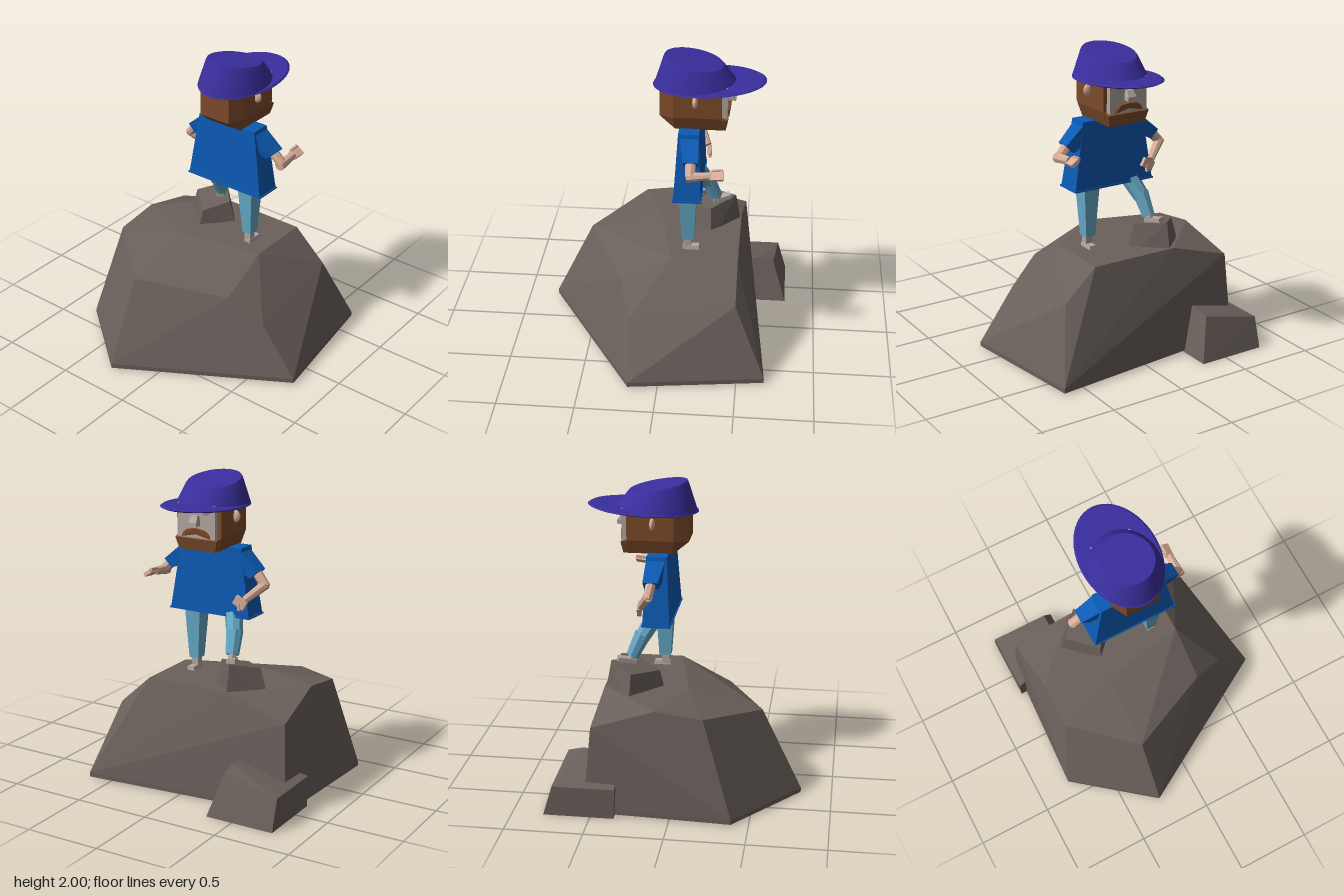
import * as THREE from 'three';
import { toCreasedNormals } from 'three/addons/utils/BufferGeometryUtils.js';
import { ConvexGeometry } from 'three/addons/geometries/ConvexGeometry.js';

const material = (name, color) => {
  const m = new THREE.MeshStandardMaterial({ color });
  m.name = name;
  return m;
};

export function createModel() {
  const model = new THREE.Group();
  const rock = material('rock', 0x6a605b);
  const hatBlue = material('hat purple', 0x3a2e9e);
  const shirtBlue = material('shirt blue', 0x0c5ab4);
  const denim = material('trouser blue', 0x66aac8);
  const skin = material('skin', 0xd8ae98);
  const pale = material('pale face', 0xb3a79f);
  const hair = material('hair brown', 0x7d4b2b);
  const lid = material('eyelid grey', 0x8d837d);

  const add = (name, geometry, mat) => {
    const mesh = new THREE.Mesh(geometry, mat);
    mesh.name = name;
    model.add(mesh);
    return mesh;
  };
  // Faceted solid wrapped around its corner points
  const hull = (name, pts, mat) =>
    add(name, new ConvexGeometry(pts.map((p) => new THREE.Vector3(...p))), mat);
  // Rectangle of corners at height y
  const rect = (y, x0, x1, z0, z1) => [[x0, y, z0], [x1, y, z0], [x1, y, z1], [x0, y, z1]];
  const box = (name, x, y, z, w, h, d, mat) => {
    const mesh = add(name, new THREE.BoxGeometry(w, h, d), mat);
    mesh.position.set(x, y, z);
    return mesh;
  };
  // Tapered faceted limb from a to b
  const limb = (name, a, b, ra, rb, mat) => {
    const p = new THREE.Vector3(...a), q = new THREE.Vector3(...b);
    const dir = q.clone().sub(p);
    const geo = new THREE.CylinderGeometry(rb, ra, dir.length(), 8).toNonIndexed();
    geo.computeVertexNormals();
    const mesh = add(name, geo, mat);
    mesh.position.copy(p).add(q).multiplyScalar(0.5);
    mesh.quaternion.setFromUnitVectors(new THREE.Vector3(0, 1, 0), dir.normalize());
  };
  // Solid through stacked elliptical rings: [centreX, radiusX, radiusZ, y at back, y at front]
  const stack = (name, rings, mat) => {
    const n = 48, pos = [], idx = [];
    const ends = [rings[0], rings[rings.length - 1]];
    rings.forEach(([cx, rx, rz, yb, yf]) => {
      for (let i = 0; i < n; i++) {
        const a = (i / n) * Math.PI * 2, c = Math.cos(a);
        pos.push(cx + rx * c, yb + ((yf - yb) * (c + 1)) / 2, rz * Math.sin(a));
      }
    });
    ends.forEach(([cx, , , yb, yf]) => pos.push(cx, (yb + yf) / 2, 0));
    const bottom = rings.length * n, top = bottom + 1, last = (rings.length - 1) * n;
    for (let i = 0; i < n; i++) {
      const j = (i + 1) % n;
      for (let r = 0; r < rings.length - 1; r++) {
        const o = r * n;
        idx.push(o + i, o + n + i, o + j, o + j, o + n + i, o + n + j);
      }
      idx.push(bottom, i, j, top, last + j, last + i);
    }
    const geo = new THREE.BufferGeometry();
    geo.setAttribute('position', new THREE.Float32BufferAttribute(pos, 3));
    geo.setIndex(idx);
    geo.computeVertexNormals();
    return add(name, toCreasedNormals(geo, 0.5), mat);
  };

  // Boulders
  hull('mainBoulder', [
    [-0.8, 0.01, -0.27], [-0.39, 0.01, -0.78], [0.55, 0.01, -0.73], [0.68, 0.01, 0.65], [-0.19, 0.01, 0.77],
    [-0.8, 0.04, -0.27], [-0.39, 0.04, -0.78], [0.55, 0.04, -0.73], [0.68, 0.04, 0.65], [-0.19, 0.04, 0.77],
    [-0.2, 0.37, 0.52], [0.48, 0.5, 0.52], [-0.28, 0.53, 0.3], [-0.54, 0.58, -0.27],
    [0.05, 0.7, 0.3], [0.48, 0.7, 0.3], [-0.06, 0.7, -0.27], [-0.2, 0.66, -0.67],
    [0.1, 0.7, -0.67], [0.48, 0.7, -0.3], [0.5, 0.58, -0.7],
  ], rock);
  hull('sideBoulder', [
    ...rect(0, 0.35, 0.8, -0.78, -0.32), [0.34, 0.2, -0.78], [0.74, 0.2, -0.78],
    [0.4, 0.3, -0.4], [0.62, 0.3, -0.4], [0.71, 0.28, -0.4],
  ], rock);
  hull('footBoulder', [
    [0.3, 0.6, -0.48], [0.49, 0.6, -0.27], [0.29, 0.6, -0.05], [0.08, 0.6, -0.25],
    [0.29, 0.83, -0.41], [0.44, 0.87, -0.27], [0.28, 0.84, -0.12], [0.13, 0.8, -0.23],
  ], rock);

  // Straight leg and shoe
  hull('rightLeg', [...rect(1.14, 0.085, 0.205, 0.09, 0.205), ...rect(0.775, 0.11, 0.187, 0.115, 0.182)], denim);
  box('rightAnkle', 0.145, 0.745, 0.15, 0.05, 0.08, 0.045, pale);
  hull('rightFoot', [...rect(0.695, 0.115, 0.225, 0.125, 0.18), ...rect(0.725, 0.115, 0.22, 0.13, 0.175)], pale);

  // Bent leg and shoe
  limb('leftThigh', [0.165, 1.15, -0.14], [0.255, 1.0, -0.2], 0.062, 0.052, denim);
  limb('leftShin', [0.245, 1.03, -0.195], [0.31, 0.89, -0.215], 0.055, 0.043, denim);
  limb('leftAnkle', [0.305, 0.9, -0.215], [0.325, 0.85, -0.22], 0.028, 0.026, pale);
  const foot = box('leftFoot', 0.345, 0.865, -0.235, 0.12, 0.03, 0.055, pale);
  foot.rotation.set(0, 0.35, 0.2);

  // Shirt and sleeves
  hull('shirt', [...rect(1.11, 0.06, 0.235, -0.29, 0.29), ...rect(1.555, 0.085, 0.215, -0.22, 0.22)], shirtBlue);
  box('shirtHem', 0.147, 1.115, 0, 0.185, 0.01, 0.59, shirtBlue);
  for (const s of [1, -1]) {
    hull(s > 0 ? 'rightSleeve' : 'leftSleeve', [
      [0.09, 1.55, s * 0.2], [0.215, 1.55, s * 0.2], [0.1, 1.42, s * 0.2], [0.215, 1.42, s * 0.2],
      [0.125, 1.425, s * 0.345], [0.22, 1.425, s * 0.345], [0.125, 1.37, s * 0.29], [0.22, 1.37, s * 0.29],
    ], shirtBlue);
  }

  // Arm reaching forward
  limb('rightUpperArm', [0.17, 1.42, 0.3], [0.175, 1.345, 0.375], 0.034, 0.032, skin);
  limb('rightForearm', [0.15, 1.338, 0.372], [0.3, 1.355, 0.372], 0.034, 0.025, skin);
  box('rightHand', 0.335, 1.355, 0.372, 0.085, 0.025, 0.06, skin).rotation.set(0.6, 0, 0.1);
  box('rightThumb', 0.34, 1.38, 0.35, 0.07, 0.018, 0.018, skin).rotation.z = 0.1;

  // Arm resting on the hip
  limb('leftUpperArm', [0.17, 1.42, -0.3], [0.185, 1.325, -0.385], 0.034, 0.03, skin);
  limb('leftForearm', [0.18, 1.345, -0.385], [0.245, 1.24, -0.27], 0.032, 0.024, skin);
  box('leftHand', 0.256, 1.22, -0.24, 0.025, 0.06, 0.085, skin).rotation.x = -0.5;
  box('leftThumb', 0.262, 1.195, -0.235, 0.02, 0.05, 0.02, skin);

  // Head with chamfered back, beard and ears
  hull('head', [
    ...rect(1.84, 0.05, 0.35, -0.16, 0.16), ...rect(1.64, 0.05, 0.35, -0.16, 0.16),
    [-0.04, 1.84, 0.11], [-0.04, 1.84, -0.11], [-0.04, 1.63, 0.11], [-0.04, 1.63, -0.11],
    ...rect(1.55, 0.06, 0.35, -0.13, 0.13),
  ], hair);
  hull('beard', [
    ...rect(1.55, 0.2, 0.375, -0.13, 0.13), ...rect(1.625, 0.2, 0.39, -0.15, 0.15),
    [0.35, 1.64, -0.15], [0.35, 1.64, 0.15],
  ], hair);
  box('face', 0.36, 1.735, 0, 0.05, 0.21, 0.27, pale);
  hull('nose', [
    ...rect(1.71, 0.38, 0.432, -0.03, 0.03), ...rect(1.735, 0.38, 0.432, -0.03, 0.03),
    ...rect(1.775, 0.38, 0.405, -0.022, 0.022),
  ], pale);
  for (const s of [1, -1]) {
    const side = s > 0 ? 'right' : 'left';
    hull(side + 'Moustache', [
      [0.38, 1.695, 0], [0.38, 1.655, 0], [0.405, 1.692, 0], [0.4, 1.66, 0],
      [0.38, 1.685, s * 0.06], [0.4, 1.685, s * 0.06],
      [0.38, 1.635, s * 0.1], [0.395, 1.635, s * 0.1], [0.38, 1.66, s * 0.1],
    ], hair);
    const eye = add(side + 'Eyelid', new THREE.CylinderGeometry(0.035, 0.035, 0.008, 16, 1, false, 0, Math.PI), lid);
    eye.rotation.z = -Math.PI / 2;
    eye.rotation.y = 0;
    eye.scale.z = 1;
    eye.rotation.x = 0;
    eye.position.set(0.387, 1.815, s * 0.07);
    const ear = add(side + 'Ear', new THREE.SphereGeometry(1, 16, 10), skin);
    ear.scale.set(0.018, 0.04, 0.035);
    ear.position.set(0.185, 1.75, s * 0.163);
  }

  // Hat
  stack('hatBrim', [
    [0.26, 0.34, 0.235, 1.797, 1.832], [0.265, 0.355, 0.25, 1.802, 1.842], [0.26, 0.345, 0.24, 1.812, 1.85],
  ], hatBlue);
  stack('hatCrown', [
    [0.175, 0.255, 0.225, 1.81, 1.835], [0.168, 0.193, 0.175, 1.985, 1.925], [0.167, 0.185, 0.166, 2.0, 1.935],
  ], hatBlue);
  return model;
}
